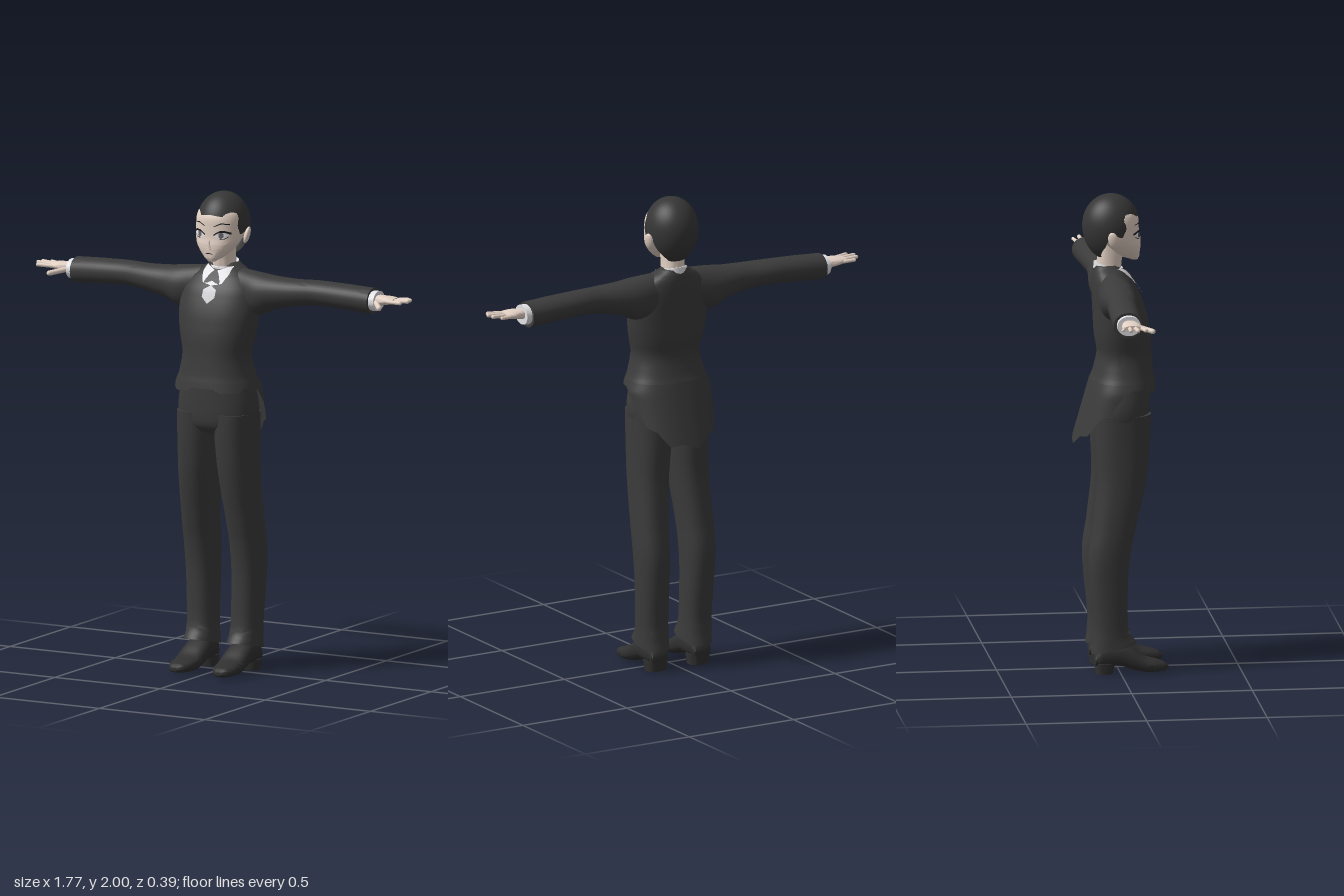
import * as THREE from 'three';
import { mergeVertices, toCreasedNormals } from 'three/addons/utils/BufferGeometryUtils.js';

const mat = (name, color, side = THREE.FrontSide) => {
  const m = new THREE.MeshStandardMaterial({ color, side });
  m.name = name;
  return m;
};

// Grid surface: u runs right and v runs down when seen from outside.
function grid(f, nu, nv, flip = false) {
  const pos = [], idx = [];
  for (let j = 0; j <= nv; j++) for (let i = 0; i <= nu; i++) pos.push(...f(i / nu, j / nv, j));
  for (let j = 0; j < nv; j++) for (let i = 0; i < nu; i++) {
    const a = j * (nu + 1) + i, b = a + 1, c = a + nu + 1, d = c + 1;
    idx.push(...(flip ? [a, b, c, b, d, c] : [a, c, b, b, c, d]));
  }
  let g = new THREE.BufferGeometry();
  g.setAttribute('position', new THREE.Float32BufferAttribute(pos, 3));
  g.setIndex(idx);
  g = mergeVertices(g, 1e-5);
  g.computeVertexNormals();
  return g;
}

// Smooth a list of rings [t, u0, u1, v0, v1] into a denser list.
function refine(rings, k = 4) {
  const out = [], n = rings.length;
  for (let i = 0; i < n - 1; i++) for (let s = 0; s < k; s++) {
    const q = [Math.max(i - 1, 0), i, i + 1, Math.min(i + 2, n - 1)].map(j => rings[j]), w = s / k;
    out.push(q[1].map((_, c) => c === 0
      ? q[1][0] + (q[2][0] - q[1][0]) * w
      : 0.5 * (2 * q[1][c] + (q[2][c] - q[0][c]) * w + (2 * q[0][c] - 5 * q[1][c] + 4 * q[2][c] - q[3][c]) * w * w
        + (3 * q[1][c] - q[0][c] - 3 * q[2][c] + q[3][c]) * w ** 3)));
  }
  out.push(rings[n - 1]);
  return out;
}

const AXES = {
  y: (t, u, v) => [u, t, v],
  x: (t, u, v) => [t, v, u],
  z: (t, u, v) => [v, u, t],
};
const power = (c, n) => Math.sign(c) * Math.abs(c) ** (2 / n);

// Capped loft of rounded cross-sections along an axis; sx = -1 mirrors it.
function loft(rings, { axis = 'y', sx = 1, n = 2.3, seg = 32, bend } = {}) {
  const R = rings, last = R.length - 1;
  const f = (u, _, row) => {
    const r = R[Math.min(Math.max(row - 1, 0), last)], k = row === 0 || row === last + 2 ? 0 : 1;
    const a = (u % 1) * Math.PI * 2;
    const p = AXES[axis](r[0],
      (r[1] + r[2]) / 2 + k * (r[2] - r[1]) / 2 * power(Math.cos(a), n),
      (r[3] + r[4]) / 2 + k * (r[4] - r[3]) / 2 * power(Math.sin(a), n));
    if (bend) bend(p);
    p[0] *= sx;
    return p;
  };
  return toCreasedNormals(grid(f, seg, last + 2, sx < 0), 0.95);
}

// Front depth of an upright loft at x, y.
function frontZ(R, x, y, n = 2.3) {
  let i = 0;
  const up = R[1][0] > R[0][0];
  while (i < R.length - 2 && (up ? R[i + 1][0] < y : R[i + 1][0] > y)) i++;
  const w = THREE.MathUtils.clamp((y - R[i][0]) / (R[i + 1][0] - R[i][0]), 0, 1);
  const r = R[i].map((c, j) => c + (R[i + 1][j] - c) * w);
  const q = Math.min(Math.abs((x - (r[1] + r[2]) / 2) / ((r[2] - r[1]) / 2)), 1);
  return (r[3] + r[4]) / 2 + (r[4] - r[3]) / 2 * (1 - q ** n) ** (1 / n);
}

// Thin patch lying on a loft, given as columns [x, yLow, yHigh].
function patch(R, cols, off, sx = 1) {
  const f = (u, v) => {
    const s = u * (cols.length - 1), i = Math.min(Math.floor(s), cols.length - 2);
    const [x, lo, hi] = cols[i].map((c, j) => c + (cols[i + 1][j] - c) * (s - i));
    const y = hi + (lo - hi) * v;
    return [x * sx, y, frontZ(R, x, y) + off];
  };
  return grid(f, (cols.length - 1) * 4, 5, sx < 0);
}

export function createModel() {
  const root = new THREE.Group();
  root.name = 'suitedFigure';
  const suit = mat('suit charcoal', 0x3b3b3b, THREE.DoubleSide);
  const hairMat = mat('hair black', 0x363636, THREE.DoubleSide);
  const skin = mat('skin', 0xe3d1c4);
  const white = mat('shirt white', 0xe6e6ea);
  const gemMat = mat('gem grey', 0xd2d2d6);
  const iris = mat('iris grey', 0x6a6468);
  const line = mat('line black', 0x1c1a1a);
  const shoeMat = mat('shoe leather', 0x303030);
  const add = (name, geo, m) => {
    const mesh = new THREE.Mesh(geo, m);
    mesh.name = name;
    root.add(mesh);
    return mesh;
  };

  // Jacket body
  const torso = refine([
    [1.2, -.182, .182, -.118, .156], [1.25, -.163, .163, -.1, .148], [1.33, -.146, .146, -.083, .141],
    [1.4, -.16, .16, -.093, .137], [1.45, -.17, .17, -.097, .13], [1.52, -.176, .176, -.1, .115],
    [1.6, -.168, .168, -.104, .085], [1.65, -.14, .14, -.103, .052], [1.68, -.098, .098, -.1, .026],
    [1.705, -.058, .058, -.094, .0]]);
  add('jacketBody', loft(torso, { seg: 48 }), suit);

  // Jacket hem: short points in front, ragged tail behind
  const hemY = a => {
    const s = -Math.sin(a), saw = Math.abs(((a / Math.PI * 11) % 2 + 2) % 2 - 1);
    return s > 0 ? 1.195 - .215 * s - .025 * saw * Math.min(1, s * 4) : 1.18 + .035 * Math.abs(Math.sin((a - Math.PI / 2) * 2.5 + Math.PI / 2)) ** 3;
  };
  add('jacketTail', grid((u, v) => {
    const a = -(u % 1) * Math.PI * 2, y = 1.225 + (hemY(a) - 1.225) * v;
    const d = 1.225 - y, zb = -.111 - d * .29, zf = .153 + Math.min(d, .04) * .15;
    return [(.174 + Math.min(d, .04) * .35) * power(Math.cos(a), 2.3), y, (zb + zf) / 2 + (zf - zb) / 2 * power(Math.sin(a), 2.3)];
  }, 110, 8), suit);

  // Trousers
  add('hips', loft(refine([[1.0, -.12, .12, -.085, .1], [1.04, -.165, .165, -.1, .128],
    [1.12, -.174, .174, -.104, .133], [1.24, -.15, .15, -.09, .132]]), { seg: 40 }), suit);
  const leg = refine([[.105, .036, .168, -.12, .068], [.14, .038, .167, -.114, .045], [.2, .041, .167, -.11, .032],
    [.4, .042, .174, -.128, .032], [.5, .04, .178, -.13, .042], [.6, .036, .178, -.115, .062],
    [.8, .02, .173, -.095, .105], [.95, .008, .171, -.1, .124], [1.09, .0, .172, -.1, .13]]);
  const shoe = refine([[-.105, .03, .08, .065, .14], [-.08, .03, .12, .053, .15], [0, .03, .125, .046, .155],
    [.05, .014, .1, .042, .158], [.1, .003, .066, .043, .159], [.15, .003, .052, .052, .155],
    [.185, .006, .04, .07, .138], [.2, .014, .028, .088, .12]]);

  // Sleeves, cuffs and hands
  const sleeve = refine([[.09, -.09, .04, 1.51, 1.685], [.18, -.095, .06, 1.5, 1.677], [.25, -.09, .054, 1.53, 1.669],
    [.35, -.082, .045, 1.552, 1.665], [.45, -.092, .03, 1.563, 1.666], [.6, -.098, .025, 1.556, 1.662],
    [.705, -.1, .02, 1.55, 1.657]]);
  const palm = refine([[.71, -.065, -.012, 1.588, 1.63], [.74, -.07, .0, 1.59, 1.632],
    [.78, -.076, .01, 1.597, 1.631], [.815, -.07, .003, 1.603, 1.627]]);
  const fingers = [
    [[.79, 1.614, .0], [.862, 1.617, .014], .0085], [[.8, 1.615, -.023], [.879, 1.62, -.02], .009],
    [[.8, 1.615, -.045], [.874, 1.62, -.05], .0085], [[.79, 1.613, -.066], [.848, 1.617, -.078], .0075],
    [[.735, 1.605, -.005], [.785, 1.594, .055], .011]];

  // Head
  const head = refine([[1.722, -.016, .016, .058, .086], [1.735, -.036, .036, .02, .092], [1.76, -.064, .064, -.02, .094],
    [1.79, -.086, .086, -.05, .095], [1.82, -.098, .098, -.08, .09], [1.86, -.103, .103, -.11, .089],
    [1.9, -.102, .102, -.12, .087], [1.93, -.091, .091, -.1, .072], [1.96, -.066, .066, -.07, .035]]);
  add('head', loft(head, { seg: 48 }), skin);
  add('neck', loft(refine([[1.64, -.056, .056, -.09, .012], [1.69, -.046, .046, -.085, .016], [1.8, -.046, .046, -.08, .03]])), skin);
  const nose = add('nose', new THREE.ConeGeometry(.012, .045, 8), skin);
  nose.position.set(0, 1.795, .092);
  nose.rotation.x = .22;
  add('mouth', patch(head, [[-.016, 1.755, 1.757], [0, 1.756, 1.76], [.016, 1.755, 1.757]], .003), line);

  // Hair cap with a hairline that drops behind the ears
  const hairline = [[0, 1.918], [35, 1.91], [58, 1.875], [72, 1.83], [82, 1.84], [96, 1.85], [108, 1.795], [135, 1.742], [180, 1.732]];
  const lineY = deg => {
    const i = Math.max(1, hairline.findIndex(p => p[0] >= deg - 1e-6));
    const [a, b] = [hairline[i - 1], hairline[i]];
    return a[1] + (b[1] - a[1]) * (deg - a[0]) / (b[0] - a[0]);
  };
  add('hair', grid((u, v) => {
    const t = (u % 1) * Math.PI * 2, deg = Math.min(u, 1 - u) * 360, y = lineY(deg);
    const p = v * Math.acos((y - 1.87) / (y > 1.87 ? .13 : .15));
    const c = Math.cos(p), s = Math.sin(p);
    return [.109 * s * Math.sin(t), 1.87 + c * (c > 0 ? .13 : .15), -.025 + .119 * s * Math.cos(t)];
  }, 72, 24), hairMat);

  // Shirt collar and neck cloth
  add('collar', loft([[1.65, -.064, .064, -.1, .028], [1.702, -.054, .054, -.096, .024]],
    { bend: p => { p[1] -= .22 * (p[2] + .036); } }), white);
  add('shirtFront', patch(torso, [[-.062, 1.665, 1.695], [-.045, 1.63, 1.692], [0, 1.62, 1.675], [.045, 1.63, 1.692], [.062, 1.665, 1.695]], .006), white);
  add('neckCloth', patch(torso, [[-.036, 1.628, 1.638], [-.018, 1.632, 1.668], [0, 1.64, 1.684], [.018, 1.632, 1.668], [.036, 1.628, 1.638]], .012), suit);
  add('gem', patch(torso, [[-.03, 1.575, 1.605], [0, 1.55, 1.622], [.03, 1.575, 1.605]], .009), gemMat);

  // Paired parts
  for (const sx of [1, -1]) {
    const side = sx > 0 ? 'left' : 'right';
    add(side + 'TrouserLeg', loft(leg, { sx, bend: p => { if (p[1] < .16) p[1] += .22 * (p[2] + .03); } }), suit);
    add(side + 'Shoe', loft(shoe, { axis: 'z', sx, n: 2.6, seg: 24 }), shoeMat);
    add(side + 'Heel', loft([[0, .056, .146, -.102, -.03], [.045, .054, .15, -.104, -.022]], { sx, n: 3, seg: 20 }), shoeMat);
    add(side + 'Sleeve', loft(sleeve, { axis: 'x', sx, n: 2.1 }), suit);
    add(side + 'Cuff', loft([[.69, -.088, .01, 1.562, 1.647], [.73, -.087, .009, 1.565, 1.647]], { axis: 'x', sx, n: 2.1 }), white);
    add(side + 'Palm', loft(palm, { axis: 'x', sx, seg: 20 }), skin);
    fingers.forEach(([a, b, r], i) => {
      const p = new THREE.Vector3(...a), q = new THREE.Vector3(...b);
      p.x *= sx; q.x *= sx;
      const d = q.clone().sub(p);
      const m = add(side + (i < 4 ? 'Finger' : 'Thumb'), new THREE.CapsuleGeometry(r, d.length() - r * .5, 4, 10), skin);
      m.position.copy(p).add(q).multiplyScalar(.5);
      m.quaternion.setFromUnitVectors(new THREE.Vector3(0, 1, 0), d.normalize());
    });
    const ear = add(side + 'Ear', new THREE.SphereGeometry(1, 16, 12), skin);
    ear.scale.set(.012, .036, .022);
    ear.position.set(.11 * sx, 1.826, -.028);
    ear.rotation.set(-.15, .35 * sx, -.2 * sx);
    add(side + 'EyeWhite', patch(head, [[.022, 1.83, 1.838], [.045, 1.82, 1.85], [.065, 1.823, 1.85], [.08, 1.836, 1.843]], .002, sx), white);
    add(side + 'Iris', patch(head, [[.04, 1.828, 1.842], [.05, 1.821, 1.85], [.06, 1.828, 1.842]], .0035, sx), iris);
    add(side + 'Lash', patch(head, [[.02, 1.833, 1.839], [.045, 1.847, 1.854], [.065, 1.847, 1.855], [.086, 1.838, 1.847]], .005, sx), line);
    add(side + 'LowerLash', patch(head, [[.045, 1.818, 1.82], [.065, 1.82, 1.823], [.078, 1.829, 1.832]], .004, sx), line);
    add(side + 'Brow', patch(head, [[.02, 1.869, 1.872], [.05, 1.882, 1.887], [.08, 1.88, 1.883]], .004, sx), line);
  }
  return root;
}
